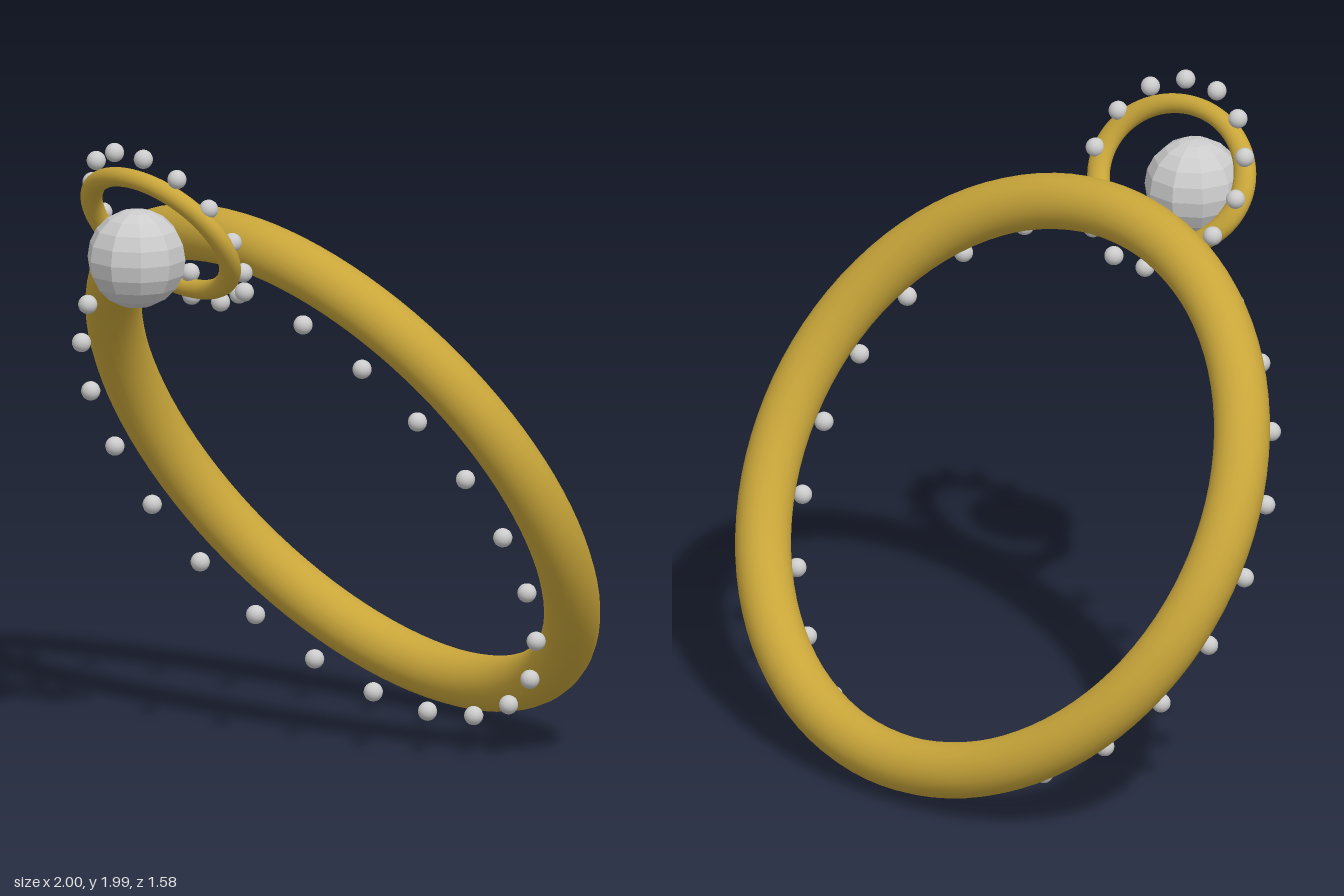
import * as THREE from 'three';

const TILT = Math.PI / 2 - 1; // shared lean of every ring

export function createModel() {
  const model = new THREE.Group();
  const gold = new THREE.MeshStandardMaterial({ color: 0xc9a63a });
  const pearl = new THREE.MeshStandardMaterial({ color: 0xcccccc });
  const faceted = new THREE.MeshStandardMaterial({ color: 0xcccccc, flatShading: true });

  // Gold band leaning forward at the top, optionally widened along x
  function band(name, radius, tube, widen, y, z) {
    const mesh = new THREE.Mesh(new THREE.TorusGeometry(radius, tube, 24, 96), gold);
    mesh.name = name;
    mesh.scale.x = widen;
    mesh.rotation.x = TILT;
    mesh.position.set(0, y, z);
    model.add(mesh);
  }

  // Circle of small beads in the same leaning plane
  const beadGeometry = new THREE.SphereGeometry(0.03, 16, 12);
  function beadCircle(name, count, radius, y, z) {
    const group = new THREE.Group();
    group.name = name;
    for (let i = 0; i < count; i++) {
      const a = (i / count) * Math.PI * 2;
      const bead = new THREE.Mesh(beadGeometry, pearl);
      bead.name = 'bead';
      bead.position.set(Math.cos(a) * radius, Math.sin(a) * radius, 0);
      group.add(bead);
    }
    group.rotation.x = TILT;
    group.position.set(0, y, z);
    model.add(group);
  }

  band('mainBand', 0.913, 0.087, 1, 0.885, -0.215);
  beadCircle('mainBeads', 24, 0.905, 0.797, -0.075);
  band('stoneSetting', 0.225, 0.03, 1.3, 1.7, 0.535);
  beadCircle('settingBeads', 14, 0.302, 1.715, 0.507);

  // Faceted centre stone
  const stone = new THREE.Mesh(new THREE.SphereGeometry(0.155, 10, 10), faceted);
  stone.name = 'centreStone';
  stone.position.set(0, 1.635, 0.635);
  model.add(stone);

  return model;
}
